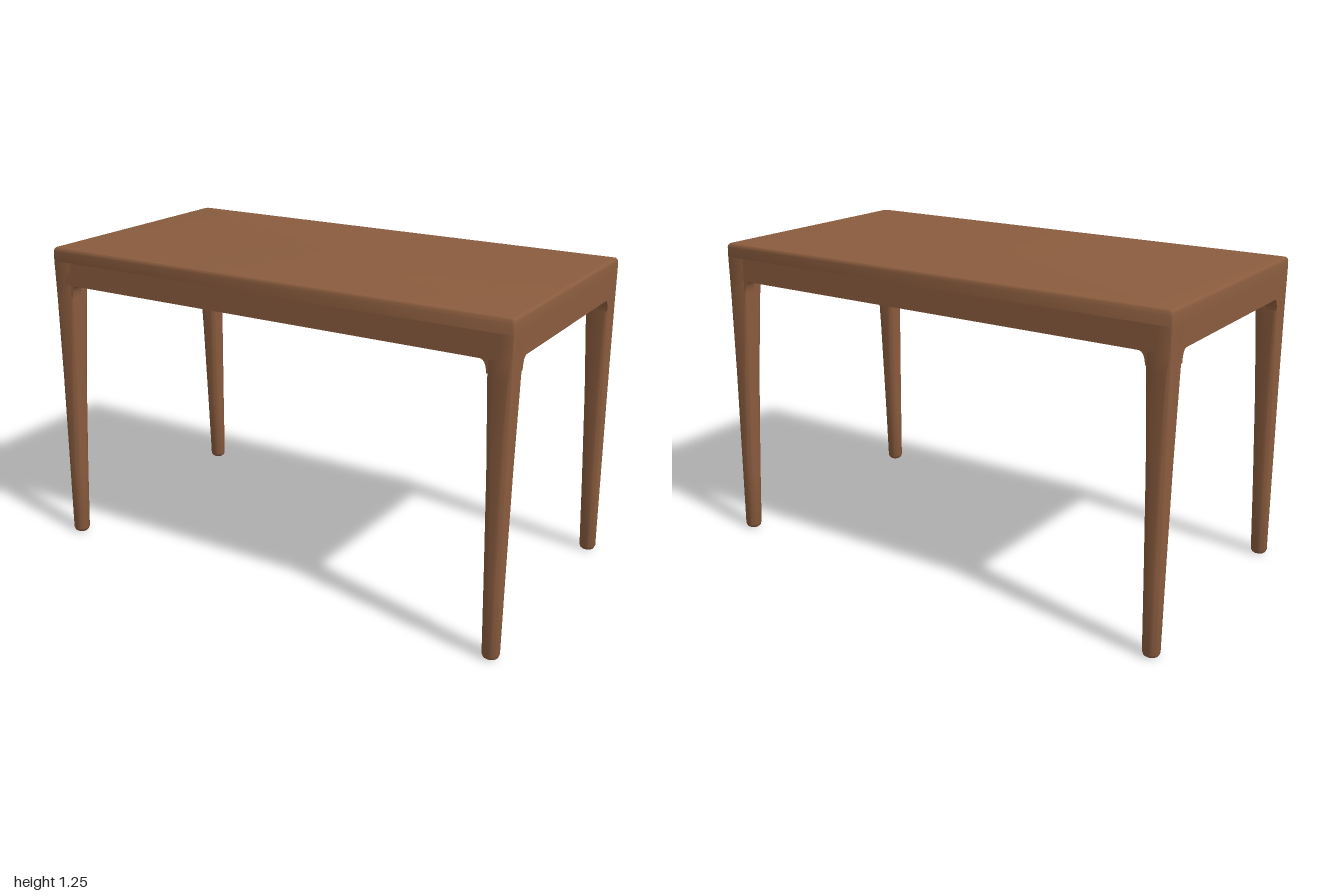
import * as THREE from 'three';
import { toCreasedNormals } from 'three/addons/utils/BufferGeometryUtils.js';

const wood = new THREE.MeshStandardMaterial({ color: 0x8a5c3e });
wood.name = 'brown wood';

const PANEL = 1.19; // underside of the top slab

// Skin through rounded rectangles; each row is [y, centreX, centreZ, halfX, halfZ, cornerRadius]
function loft(rows, steps = 6) {
  const pos = [], idx = [], n = 4 * (steps + 1);
  for (const [y, cx, cz, hx, hz, r] of rows) {
    for (let q = 0; q < 4; q++) {
      const sx = q === 0 || q === 3 ? 1 : -1, sz = q < 2 ? 1 : -1;
      for (let k = 0; k <= steps; k++) {
        const a = (q + k / steps) * Math.PI / 2;
        pos.push(cx + sx * (hx - r) + r * Math.cos(a), y, cz + sz * (hz - r) + r * Math.sin(a));
      }
    }
  }
  for (let i = 0; i < rows.length - 1; i++) {
    for (let j = 0; j < n; j++) {
      const a = i * n + j, b = i * n + (j + 1) % n;
      idx.push(a, a + n, b, b, a + n, b + n);
    }
  }
  // End caps
  const last = (rows.length - 1) * n;
  for (let j = 1; j < n - 1; j++) {
    idx.push(0, j, j + 1, last, last + j + 1, last + j);
  }
  const g = new THREE.BufferGeometry();
  g.setAttribute('position', new THREE.Float32BufferAttribute(pos, 3));
  g.setIndex(idx);
  return toCreasedNormals(g, 0.7);
}

// Apron board with a curved fillet running down into each leg
function apronGeometry(end, legX, thickness) {
  const s = new THREE.Shape();
  s.moveTo(-end, PANEL);
  s.lineTo(-end, 1.05);
  s.lineTo(-legX, 1.05);
  s.quadraticCurveTo(-legX + 0.003, 1.098, -legX + 0.028, 1.098);
  s.lineTo(legX - 0.028, 1.098);
  s.quadraticCurveTo(legX - 0.003, 1.098, legX, 1.05);
  s.lineTo(end, 1.05);
  s.lineTo(end, PANEL);
  s.closePath();
  return new THREE.ExtrudeGeometry(s, { depth: thickness, bevelEnabled: false, curveSegments: 10 });
}

export function createModel() {
  const table = new THREE.Group();
  table.name = 'table';
  const add = (name, geometry, x = 0, y = 0, z = 0, turn = 0) => {
    const m = new THREE.Mesh(geometry, wood);
    m.name = name;
    m.position.set(x, y, z);
    m.rotation.y = turn;
    table.add(m);
  };
  const box = (name, w, h, d, x, y, z) => add(name, new THREE.BoxGeometry(w, h, d), x, y, z);

  // Top slab with a softened upper edge
  add('tableTop', loft([
    [PANEL, 0, 0, 0.991, 0.505, 0.006],
    [1.23, 0, 0, 0.991, 0.505, 0.008],
    [1.239, 0, 0, 0.989, 0.503, 0.01],
    [1.244, 0, 0, 0.985, 0.499, 0.012],
    [1.245, 0, 0, 0.979, 0.493, 0.012],
  ]));

  // Long and short aprons, with a recessed inner frame and cross battens
  const T = 0.045, frameY = 1.125, frameH = PANEL - frameY, battenH = 0.04;
  for (const s of [1, -1]) {
    const side = s > 0 ? 0 : Math.PI;
    add('longApron', apronGeometry(0.94, 0.902, T), 0, 0, s * (0.505 - T), side);
    add('shortApron', apronGeometry(0.455, 0.415, T), s * (0.991 - T), 0, 0, s * Math.PI / 2);
    box('longInnerFrame', 1.9, frameH, 0.075, 0, frameY + frameH / 2, s * 0.4225);
    box('shortInnerFrame', 0.07, frameH, 0.77, s * 0.911, frameY + frameH / 2, 0);
    box('crossBatten', 0.03, battenH, 0.77, s * 0.32, PANEL - battenH / 2, 0);
  }

  // Tapered legs, round at the foot and squarer at the top
  for (const x of [1, -1]) {
    for (const z of [1, -1]) {
      const row = (y, x0, x1, z0, z1, r) =>
        [y, x * (x0 + x1) / 2, z * (z0 + z1) / 2, (x1 - x0) / 2, (z1 - z0) / 2, r];
      add('leg', loft([
        row(0, 0.944, 0.988, 0.471, 0.513, 0.02),
        row(0.005, 0.938, 0.994, 0.465, 0.519, 0.025),
        row(0.016, 0.934, 0.998, 0.461, 0.523, 0.029),
        row(0.3, 0.926, 0.997, 0.45, 0.519, 0.029),
        row(0.7, 0.914, 0.995, 0.432, 0.513, 0.027),
        row(1.03, 0.903, 0.992, 0.416, 0.507, 0.014),
        row(1.1, 0.901, 0.991, 0.413, 0.505, 0.008),
        row(PANEL, 0.901, 0.991, 0.412, 0.505, 0.006),
      ]));
    }
  }
  return table;
}
